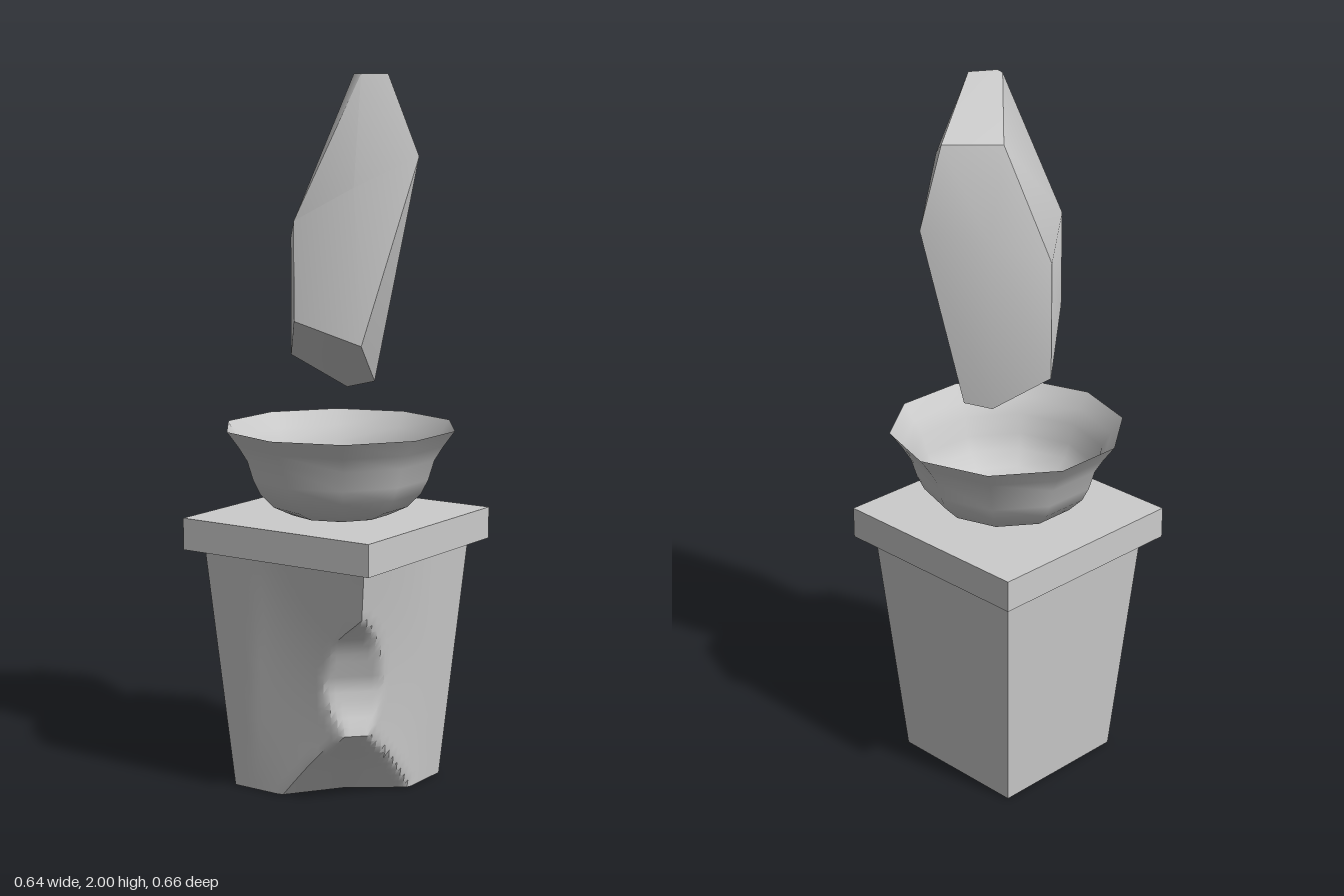
import * as THREE from 'three';
import { ConvexGeometry } from 'three/addons/geometries/ConvexGeometry.js';
import { toCreasedNormals } from 'three/addons/utils/BufferGeometryUtils.js';

const { lerp, clamp } = THREE.MathUtils;

// Piecewise-linear lookup in [position, value] pairs
function sample(pairs, t) {
  for (let i = 1; i < pairs.length; i++) {
    const [t0, v0] = pairs[i - 1], [t1, v1] = pairs[i];
    if (t <= t1) return lerp(v0, v1, clamp((t - t0) / (t1 - t0), 0, 1));
  }
  return pairs[pairs.length - 1][1];
}

// Tapered square column with its front-left corner chipped away
function columnGeometry() {
  const height = 0.69;
  // How far the broken surface reaches along the diagonal (x + z), by height
  const reach = [[0, 0.16], [0.1, 0.27], [0.21, 0.41], [0.27, 0.37], [0.34, 0.355],
    [0.45, 0.4], [0.5, 0.44], [0.54, 0.5], [0.6, 0.56], [0.69, 0.6]];
  const geo = new THREE.BoxGeometry(1, 1, 1, 20, 30, 20);
  const p = geo.attributes.position;
  for (let i = 0; i < p.count; i++) {
    const f = p.getY(i) + 0.5, y = f * height;
    const half = lerp(0.21, 0.267, f);
    let x = p.getX(i) * 2 * half, z = p.getZ(i) * 2 * half;
    const s = x + z, t = Math.abs(x - z);
    // Bottom of the break is slightly hollow
    const hollow = 0.04 * Math.max(0, 1 - t / 0.25) * Math.max(0, 1 - y / 0.2);
    let limit = Math.min(s, sample(reach, y) - hollow);
    // Shallow dent spreading over both neighbouring faces
    if (s > 0 && t < 0.36) {
      const onFace = clamp((s - (2 * half - t)) / 0.05 + 1, 0, 1);
      limit -= 0.03 * onFace * (1 - (t / 0.36) ** 2) * Math.sin(Math.PI * f);
    }
    const push = (s - limit) / 2;
    x -= push;
    z -= push;
    p.setXYZ(i, x - 0.01, y, z - 0.01);
  }
  return toCreasedNormals(geo, 0.7);
}

// Floating faceted shard
function shardGeometry() {
  const points = [
    // tip
    [0.11, 2, 0.09], [0.14, 2, 0.1], [0.18, 2, 0.03],
    // shoulders
    [-0.055, 1.87, -0.07], [0.06, 1.87, -0.185], [0.235, 1.78, -0.04], [0.14, 1.7, 0.135],
    // widest part
    [-0.16, 1.55, 0.005], [-0.01, 1.61, 0.2], [0.07, 1.65, -0.257], [-0.07, 1.62, -0.135],
    // lower end
    [-0.16, 1.22, 0.005], [-0.01, 1.34, 0.2], [0.135, 1.27, 0.09],
    [-0.04, 1.125, -0.1], [0.02, 1.14, -0.15],
  ];
  return toCreasedNormals(new ConvexGeometry(points.map((a) => new THREE.Vector3(...a))), 0.75);
}

export function createModel() {
  const group = new THREE.Group();
  const add = (name, geometry, side = THREE.FrontSide) => {
    const mesh = new THREE.Mesh(geometry, new THREE.MeshStandardMaterial({ color: 0xcccccc, side }));
    mesh.name = name;
    group.add(mesh);
    return mesh;
  };

  add('brokenColumn', columnGeometry());

  // Square slab on top of the column
  add('capSlab', new THREE.BoxGeometry(0.62, 0.09, 0.62)).position.set(-0.01, 0.735, -0.01);

  // Ten-sided thin open bowl
  const profile = [[0, 0.784], [0.14, 0.784], [0.195, 0.81], [0.235, 0.85], [0.255, 0.89],
    [0.272, 0.945], [0.297, 0.985], [0.33, 1.03]];
  const bowl = new THREE.LatheGeometry(profile.map(([r, y]) => new THREE.Vector2(r, y)), 10);
  add('bowl', bowl, THREE.DoubleSide).position.x = 0.004;

  add('floatingShard', shardGeometry());
  return group;
}
